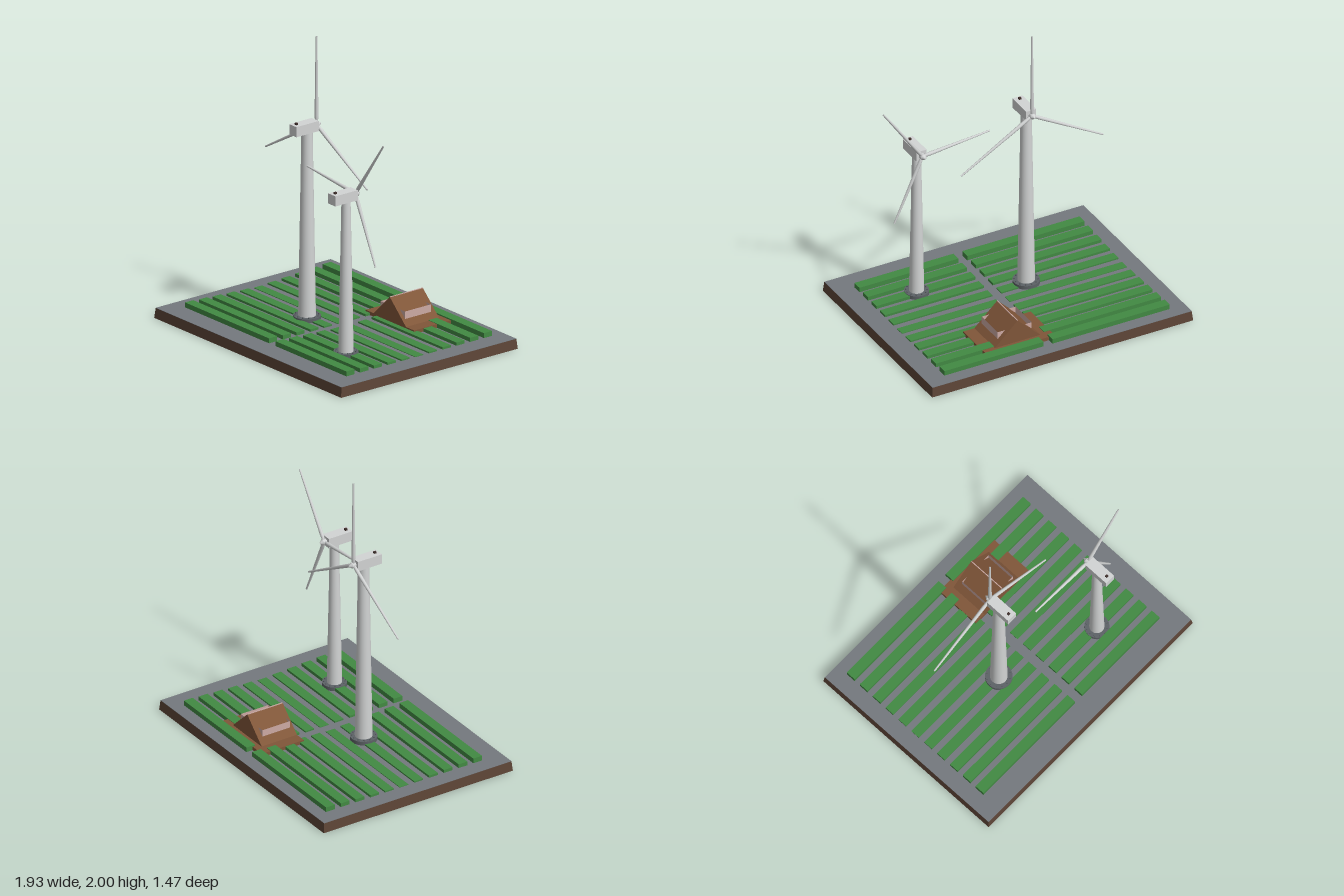
import * as THREE from 'three';

const mat = (name, color, side = THREE.FrontSide) => {
  const m = new THREE.MeshStandardMaterial({ color, side });
  m.name = name;
  return m;
};

export function createModel() {
  const root = new THREE.Group();
  root.name = 'windFarm';
  const soil = mat('soil brown', 0x5c4436);
  const ground = mat('ground grey', 0x74797e);
  const crop = mat('crop green', 0x428a43);
  const wood = mat('wood brown', 0x805639);
  const pane = mat('pale pink', 0xcdaaa4, THREE.DoubleSide);
  const white = mat('turbine white', 0xd2d4d4);
  const steel = mat('flange grey', 0x5d6266);
  const dark = mat('beacon dark', 0x40302c);

  const add = (parent, name, geo, m, x = 0, y = 0, z = 0) => {
    const mesh = new THREE.Mesh(geo, m);
    mesh.name = name;
    mesh.position.set(x, y, z);
    parent.add(mesh);
    return mesh;
  };
  // Box given by its limits
  const box = (parent, name, m, x0, x1, y0, y1, z0, z1) =>
    add(parent, name, new THREE.BoxGeometry(x1 - x0, y1 - y0, z1 - z0), m,
      (x0 + x1) / 2, (y0 + y1) / 2, (z0 + z1) / 2);

  // Base slab, slightly narrower at the top, with a grey surface
  const slab = new THREE.BoxGeometry(1.93, 0.068, 1.47);
  const p = slab.attributes.position;
  for (let i = 0; i < p.count; i++) {
    if (p.getY(i) > 0) p.setXYZ(i, p.getX(i) * 0.993, p.getY(i), p.getZ(i) * 0.991);
  }
  slab.computeVertexNormals();
  add(root, 'baseSlab', slab, soil, 0, 0.034, 0);
  box(root, 'groundSurface', ground, -0.958, 0.958, 0.066, 0.07, -0.728, 0.728);

  // Crop rows in two fields, lowest in the middle
  const field = new THREE.Group();
  field.name = 'cropField';
  root.add(field);
  for (let i = 0; i < 11; i++) {
    const z = -0.604 + i * 0.1145;
    const top = 0.074 + 0.006 * Math.abs(i - 5);
    box(field, 'cropRowRight', crop, -0.845, 0.022, 0.068, top, z - 0.034, z + 0.034);
    box(field, 'cropRowLeft', crop, 0.088, 0.82, 0.068, top, z - 0.034, z + 0.034);
  }

  // Cabin: deck, gabled roof down to the deck, ring of panes
  const cabin = new THREE.Group();
  cabin.name = 'cabin';
  root.add(cabin);
  box(cabin, 'deck', wood, -0.022, 0.478, 0.068, 0.095, -0.59, -0.265);
  const gable = new THREE.Shape();
  gable.moveTo(-0.168, 0);
  gable.lineTo(0.168, 0);
  gable.lineTo(0, 0.16);
  gable.closePath();
  add(cabin, 'gableRoof',
    new THREE.ExtrudeGeometry(gable, { depth: 0.275, bevelEnabled: false }), wood, 0.226, 0.095, -0.54);
  box(cabin, 'ridge', pane, 0.223, 0.229, 0.25, 0.256, -0.538, -0.267);
  for (const s of [-1, 1]) {
    const side = add(cabin, 'sidePane', new THREE.PlaneGeometry(0.215, 0.052), pane,
      0.228 + s * 0.126, 0.159, -0.397);
    side.rotation.y = s * Math.PI / 2;
    const end = add(cabin, 'endPane', new THREE.PlaneGeometry(0.252, 0.052), pane,
      0.228, 0.159, -0.397 + s * 0.1075);
    end.rotation.y = s > 0 ? 0 : Math.PI;
  }

  // Turbine with its rotor towards the back
  const turbine = (name, x, z, hubY, rBottom, rTop, rFlange, length, startAngle) => {
    const g = new THREE.Group();
    g.name = name;
    g.position.set(x, 0, z);
    root.add(g);
    add(g, 'flange', new THREE.CylinderGeometry(rFlange, rFlange, 0.027, 24), steel, 0, 0.0825, 0);
    for (let i = 0; i < 12; i++) {
      const a = i * Math.PI / 6;
      add(g, 'bolt', new THREE.CylinderGeometry(0.005, 0.005, 0.008, 6), steel,
        Math.cos(a) * (rFlange - 0.013), 0.1, Math.sin(a) * (rFlange - 0.013));
    }
    const towerH = hubY - 0.03 - 0.09;
    add(g, 'tower', new THREE.CylinderGeometry(rTop, rBottom, towerH, 20), white, 0, 0.09 + towerH / 2, 0);
    box(g, 'nacelle', white, -0.037, 0.037, hubY - 0.035, hubY + 0.035, -0.068, 0.118);
    box(g, 'beacon', dark, -0.008, 0.008, hubY + 0.035, hubY + 0.047, 0.08, 0.096);

    // Hub with pointed nose
    const rotor = new THREE.Group();
    rotor.name = 'rotor';
    rotor.position.set(0, hubY, -0.079);
    g.add(rotor);
    const hub = add(rotor, 'hub', new THREE.CylinderGeometry(0.02, 0.02, 0.03, 12), white);
    hub.rotation.x = Math.PI / 2;
    const nose = add(rotor, 'nose', new THREE.ConeGeometry(0.02, 0.024, 12), white, 0, 0, -0.027);
    nose.rotation.x = -Math.PI / 2;

    // Three tapered blades
    const profile = [[0, 0], [0.009, 0], [0.013, 0.1], [0.011, 0.35], [0.006, 1], [0, 1]]
      .map(([r, t]) => new THREE.Vector2(r, t * length));
    for (let i = 0; i < 3; i++) {
      const blade = add(rotor, 'blade', new THREE.LatheGeometry(profile, 8), white);
      blade.rotation.z = startAngle - Math.PI / 2 + i * Math.PI * 2 / 3;
    }
  };
  turbine('tallTurbine', -0.185, 0.092, 1.394, 0.058, 0.037, 0.09, 0.606, Math.PI / 2);
  turbine('shortTurbine', 0.5, 0.32, 1.165, 0.05, 0.03, 0.082, 0.498, 0.954);

  return root;
}
